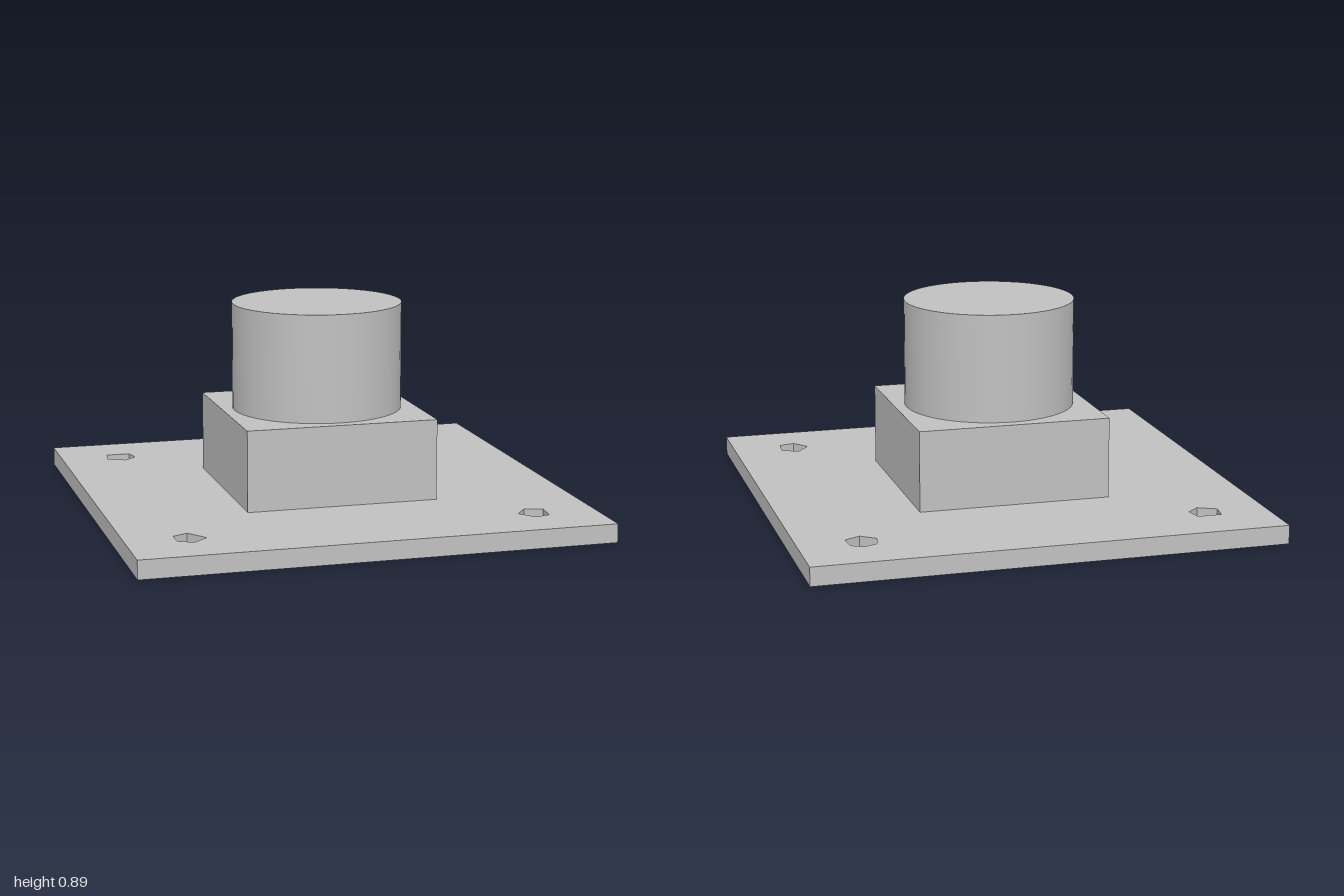
import * as THREE from 'three';

export function createModel() {
  const model = new THREE.Group();
  const grey = new THREE.MeshStandardMaterial({ color: 0xc0c0c0 });
  grey.name = 'grey';

  const add = (name, geometry, y) => {
    const mesh = new THREE.Mesh(geometry, grey);
    mesh.name = name;
    mesh.position.y = y;
    model.add(mesh);
  };

  const plateTop = 0.08, blockTop = 0.428, postTop = 0.89;

  // Square base plate with four coarse, faceted bolt holes
  const outline = new THREE.Shape([[-1, -1], [1, -1], [1, 1], [-1, 1]].map(([x, z]) => new THREE.Vector2(x, z)));
  const holeRadius = 0.07;
  const holes = [
    { x: -0.735, z: -0.735, angles: [-138, -42, 20, 80, 155] },
    { x: 0.735, z: -0.735, angles: [-136, -85, -36, 29, 95, 163] },
    { x: -0.735, z: 0.735, angles: [-146, -85, 14, 85, 146] },
    { x: 0.735, z: 0.735, angles: [-105, -36, 45, 104, 180] },
  ];
  for (const { x, z, angles } of holes) {
    const corners = angles.map((degrees) => {
      const a = THREE.MathUtils.degToRad(degrees);
      return new THREE.Vector2(x + holeRadius * Math.cos(a), z + holeRadius * Math.sin(a));
    });
    outline.holes.push(new THREE.Path(corners));
  }
  const plate = new THREE.ExtrudeGeometry(outline, { depth: plateTop, bevelEnabled: false });
  plate.rotateX(Math.PI / 2);
  add('basePlate', plate, plateTop);

  // Square block in the middle of the plate
  const blockHeight = blockTop - plateTop;
  add('block', new THREE.BoxGeometry(0.83, blockHeight, 0.83), plateTop + blockHeight / 2);

  // Smooth round post on the block
  const postHeight = postTop - blockTop;
  add('post', new THREE.CylinderGeometry(0.367, 0.367, postHeight, 64), blockTop + postHeight / 2);

  return model;
}
